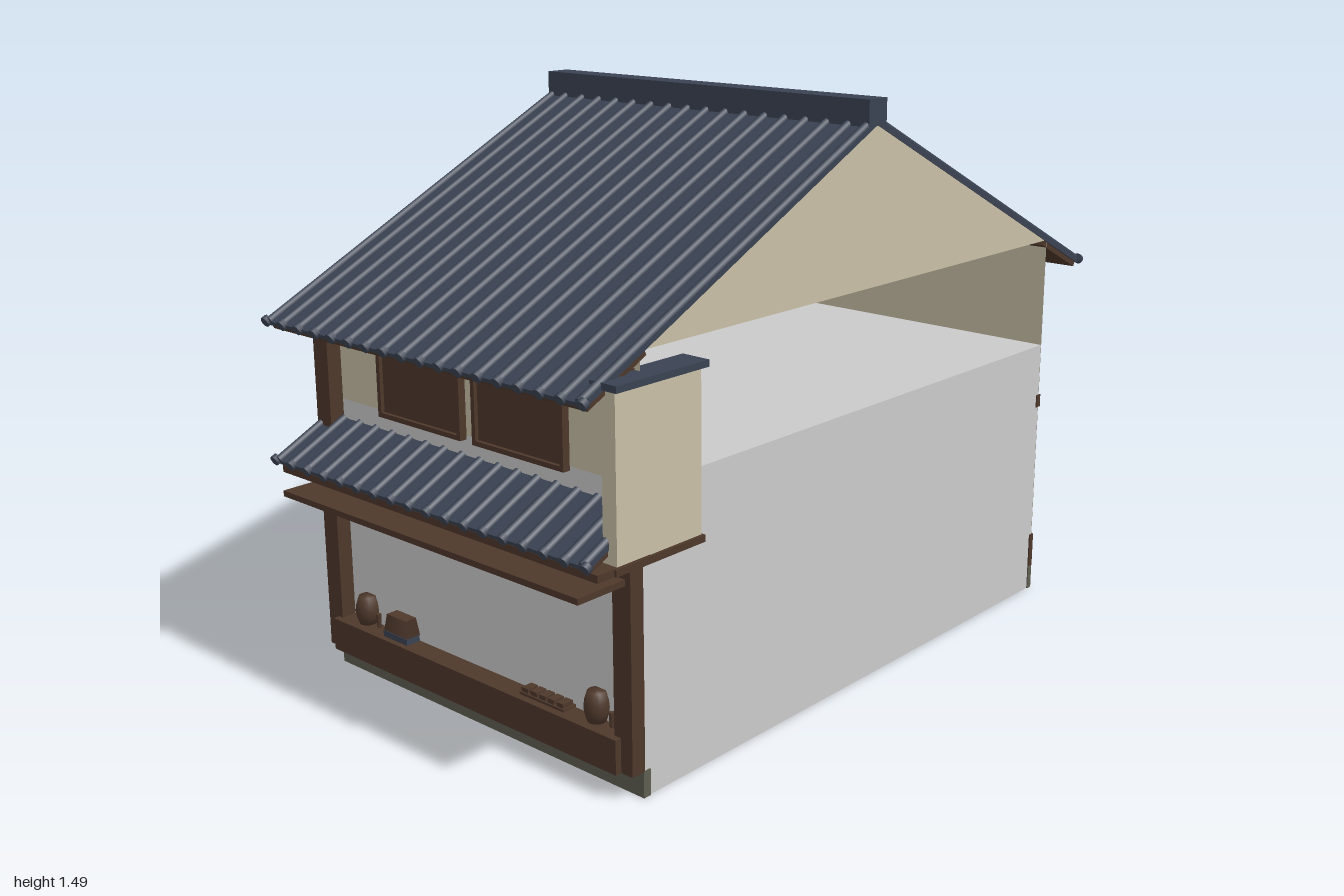
import * as THREE from 'three';

const mat = (name, color, side = THREE.FrontSide) =>
  Object.assign(new THREE.MeshStandardMaterial({ color, side }), { name });

export function createModel() {
  const M = {
    plaster: mat('cream plaster', 0xc8bfa5, THREE.DoubleSide),
    wood: mat('dark wood', 0x4e382b),
    tile: mat('blue grey tile', 0x3a4252),
    stone: mat('foundation stone', 0x5e5d50),
    grey: mat('plain grey', 0xcacaca),
  };
  const model = new THREE.Group();
  model.name = 'townhouse';
  const X0 = -0.56, X1 = 0.53, XC = (X0 + X1) / 2, W = X1 - X0;

  const add = (name, geo, material, parent = model) => {
    const m = new THREE.Mesh(geo, material);
    m.name = name;
    parent.add(m);
    return m;
  };
  // box given by its extents
  const box = (name, material, x0, x1, y0, y1, z0, z1, parent = model) => {
    const m = add(name, new THREE.BoxGeometry(x1 - x0, y1 - y0, z1 - z0), material, parent);
    m.position.set((x0 + x1) / 2, (y0 + y1) / 2, (z0 + z1) / 2);
    return m;
  };

  // Tiled slope running down local +z from its top edge, with round ribs and end caps
  const SLOPE = Math.atan(0.49), RIBS = 18;
  const tiledSlope = (name, topY, zStart, length, soffit, flip) => {
    const holder = new THREE.Group();
    holder.name = name;
    holder.position.x = XC;
    holder.rotation.y = flip ? Math.PI : 0;
    const g = new THREE.Group();
    g.position.set(0, topY, zStart);
    g.rotation.x = SLOPE;
    holder.add(g);
    model.add(holder);
    box('tileBed', M.tile, -W / 2, W / 2, -0.012, 0, 0, length, g);
    box('soffit', M.wood, -W / 2 + 0.004, W / 2 - 0.004, -0.026, -0.0125, length - soffit, length - 0.006, g);
    const rib = new THREE.CylinderGeometry(0.011, 0.011, length, 8);
    const cap = new THREE.CylinderGeometry(0.0135, 0.0135, 0.014, 10);
    for (let i = 0; i < RIBS; i++) {
      const x = -W / 2 + (W * i) / (RIBS - 1);
      const inner = THREE.MathUtils.clamp(x, -W / 2 + 0.011, W / 2 - 0.011);
      const r = add('tileRib', rib, M.tile, g);
      r.rotation.x = Math.PI / 2;
      r.position.set(inner, 0.001, length / 2);
      const c = add('eaveCap', cap, M.tile, g);
      c.rotation.x = Math.PI / 2;
      c.position.set(x, 0, length);
    }
  };

  // Main body and upper walls
  box('body', M.grey, X0 + 0.003, X1 - 0.003, 0, 0.73, -0.812, 0.818);
  const wall = (name, y0, y1, z) => {
    const m = add(name, new THREE.PlaneGeometry(W - 0.006, y1 - y0), M.plaster);
    m.position.set(XC, (y0 + y1) / 2, z);
  };
  wall('frontUpperWall', 0.73, 1.03, 0.818);
  wall('backWall', 0.02, 1.03, -0.8135);
  box('lintelPanel', M.plaster, -0.505, 0.475, 0.53, 0.6, 0.817, 0.822);
  box('sidePanel', M.plaster, X0 - 0.001, X0 + 0.004, 0.08, 0.51, 0.33, 0.815);

  // Attic with both gables
  const tri = new THREE.Shape([
    new THREE.Vector2(-0.815, 1.03), new THREE.Vector2(0.815, 1.03), new THREE.Vector2(0, 1.425),
  ]);
  const attic = add('gableAttic', new THREE.ExtrudeGeometry(tri, { depth: W - 0.004, bevelEnabled: false }), M.plaster);
  attic.rotation.y = Math.PI / 2;
  attic.position.x = X0 + 0.002;

  // Main roof, ridge and front canopy
  tiledSlope('frontRoof', 1.436, 0, 1.1, 0.2, false);
  tiledSlope('backRoof', 1.436, 0, 1.1, 0.2, true);
  box('ridge', M.tile, X0, X1, 1.42, 1.485, -0.035, 0.035);
  tiledSlope('canopy', 0.681, 0.82, 0.187, 0.17, false);

  // Foundation, sills and back rails
  box('frontFoundation', M.stone, X0, X1, 0, 0.065, 0.8, 0.822);
  box('backFoundation', M.stone, X0, X1, 0, 0.068, -0.817, -0.8);
  box('frontSill', M.wood, -0.52, 0.495, 0.065, 0.15, 0.8, 0.875);
  box('backSill', M.wood, X0, X1, 0.068, 0.165, -0.818, -0.8);
  box('backRail', M.wood, X0, X1, 0.55, 0.585, -0.818, -0.8);

  // Front posts and rails
  box('leftPost', M.wood, 0.475, X1, 0.065, 0.575, 0.818, 0.858);
  box('leftUpperPost', M.wood, 0.478, 0.512, 0.575, 0.99, 0.812, 0.858);
  box('rightPost', M.wood, X0, -0.505, 0.065, 0.99, 0.812, 0.858);
  box('canopyBeam', M.wood, -0.545, 0.555, 0.568, 0.586, 0.82, 0.98);
  box('curtainRail', M.wood, -0.52, 0.515, 0.515, 0.53, 0.855, 1.0);

  // Upper windows: shutter panel with a raised frame
  for (const [x0, x1] of [[-0.338, -0.035], [0.007, 0.31]]) {
    const t = 0.012, y0 = 0.72, y1 = 0.94;
    box('shutter', M.wood, x0, x1, y0, y1, 0.81, 0.828);
    for (const x of [x0, x1 - t]) box('shutterStile', M.wood, x, x + t, y0, y1, 0.828, 0.838);
    for (const y of [y0, y1 - t]) box('shutterRail', M.wood, x0 + t, x1 - t, y, y + t, 0.828, 0.838);
  }

  // Small projecting bay at the front corner
  box('bay', M.plaster, 0.512, 0.553, 0.585, 0.97, 0.655, 0.92);
  box('bayFloor', M.wood, 0.5, 0.56, 0.568, 0.585, 0.65, 0.93);
  box('bayRoof', M.tile, 0.495, 0.572, 0.97, 0.986, 0.65, 0.935);

  // Goods on the sill
  const profile = [[0, 0], [0.022, 0], [0.029, 0.022], [0.031, 0.037], [0.029, 0.052], [0.022, 0.074], [0, 0.074]]
    .map(p => new THREE.Vector2(...p));
  const barrel = new THREE.LatheGeometry(profile, 12);
  const peg = new THREE.CylinderGeometry(0.007, 0.005, 0.036, 8);
  for (const x of [-0.432, 0.395]) {
    add('barrel', barrel, M.wood).position.set(x, 0.15, 0.832);
    add('cup', peg, M.wood).position.set(x + 0.055, 0.173, 0.84);
  }
  const chest = add('tub', new THREE.CylinderGeometry(0.052, 0.064, 0.045, 4, 1, false, Math.PI / 4), M.wood);
  chest.scale.z = 0.45;
  chest.position.set(-0.288, 0.188, 0.838);
  box('tubMat', M.tile, -0.334, -0.242, 0.15, 0.166, 0.82, 0.86);
  box('tray', M.wood, 0.168, 0.315, 0.153, 0.159, 0.82, 0.86);
  for (let i = 0; i < 5; i++) {
    const x = 0.172 + i * 0.029;
    box('trayItem', M.wood, x, x + 0.022, 0.159, 0.17, 0.825, 0.856);
  }
  return model;
}
